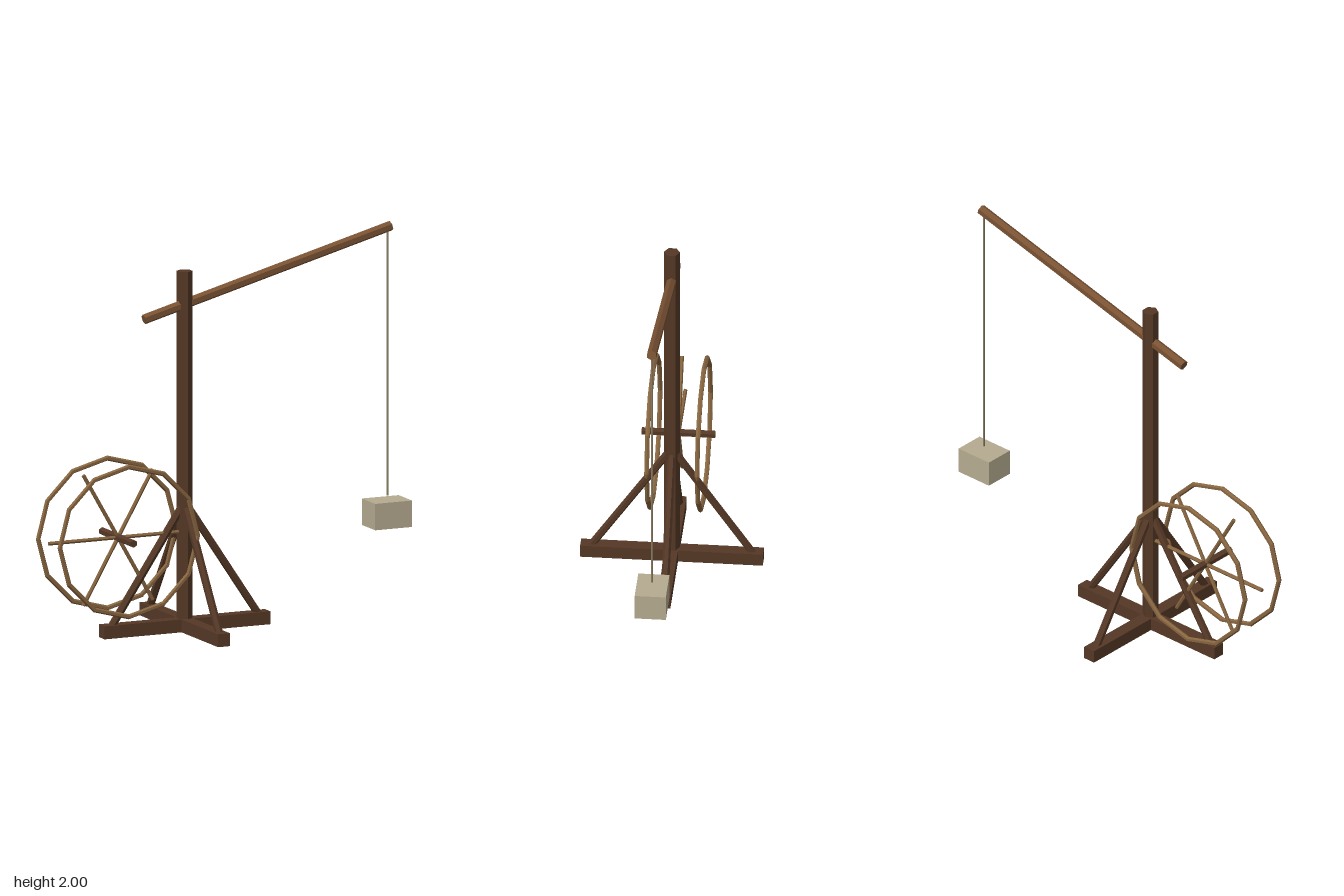
import * as THREE from 'three';

const material = (color) => new THREE.MeshStandardMaterial({ color, flatShading: true });

export function createModel() {
  const model = new THREE.Group();
  model.name = 'treadwheelCrane';
  const darkWood = material(0x553826);
  const armWood = material(0x7a5233);
  const wheelWood = material(0x876540);
  const ropeFibre = material(0x8a7d62);
  const stone = material(0xb5ab90);

  const add = (name, geometry, mat, x = 0, y = 0, z = 0, parent = model) => {
    const mesh = new THREE.Mesh(geometry, mat);
    mesh.name = name;
    mesh.position.set(x, y, z);
    parent.add(mesh);
    return mesh;
  };

  // Straight pole between two points; spin turns its facets about its own axis
  const pole = (name, a, b, radius, sides, mat, spin = 0, parent = model) => {
    const from = new THREE.Vector3(...a), to = new THREE.Vector3(...b);
    const geometry = new THREE.CylinderGeometry(radius, radius, from.distanceTo(to), sides);
    geometry.rotateY(spin);
    const mesh = add(name, geometry, mat, 0, 0, 0, parent);
    mesh.position.copy(from).add(to).multiplyScalar(0.5);
    mesh.quaternion.setFromUnitVectors(new THREE.Vector3(0, 1, 0), to.sub(from).normalize());
    return mesh;
  };

  const postX = -0.23;

  // Crossed ground beams
  add('longBaseBeam', new THREE.BoxGeometry(0.92, 0.066, 0.066), darkWood, postX, 0.033, 0);
  add('crossBaseBeam', new THREE.BoxGeometry(0.066, 0.066, 0.92), darkWood, postX, 0.033, 0);

  // Mast
  pole('mast', [postX, 0.03, 0], [postX, 1.84, 0], 0.04, 6, darkWood);

  // Four braces from the beam ends up to the mast
  for (const [dx, dz] of [[1, 0], [-1, 0], [0, 1], [0, -1]]) {
    pole('brace', [postX + dx * 0.41, 0.05, dz * 0.41], [postX, 0.66, 0], 0.02, 6, darkWood);
  }

  // Sloping jib
  pole('jib', [-0.456, 1.61, 0], [0.914, 1.974, 0], 0.026, 6, armWood, Math.PI / 6);

  // Rope and hanging load
  pole('rope', [0.895, 0.597, 0], [0.895, 1.965, 0], 0.005, 6, ropeFibre);
  add('stoneLoad', new THREE.BoxGeometry(0.205, 0.135, 0.157), stone, 0.893, 0.508, 0);

  // Treadwheel: two twelve-sided rims, an axle and three rods crossing at the hub
  const wheel = new THREE.Group();
  wheel.name = 'treadwheel';
  wheel.position.set(-0.6, 0.508, 0);
  model.add(wheel);
  for (const z of [-0.127, 0.127]) {
    add('rim', new THREE.TorusGeometry(0.383, 0.013, 6, 12), wheelWood, 0, 0, z, wheel);
  }
  pole('axle', [0, 0, -0.185], [0, 0, 0.185], 0.02, 6, darkWood, 0, wheel);
  for (let i = 0; i < 3; i++) {
    const c = 0.385 * Math.cos(i * Math.PI / 3), s = 0.385 * Math.sin(i * Math.PI / 3);
    pole('spokeRod', [-c, -s, 0], [c, s, 0], 0.01, 6, wheelWood, 0, wheel);
  }

  return model;
}
